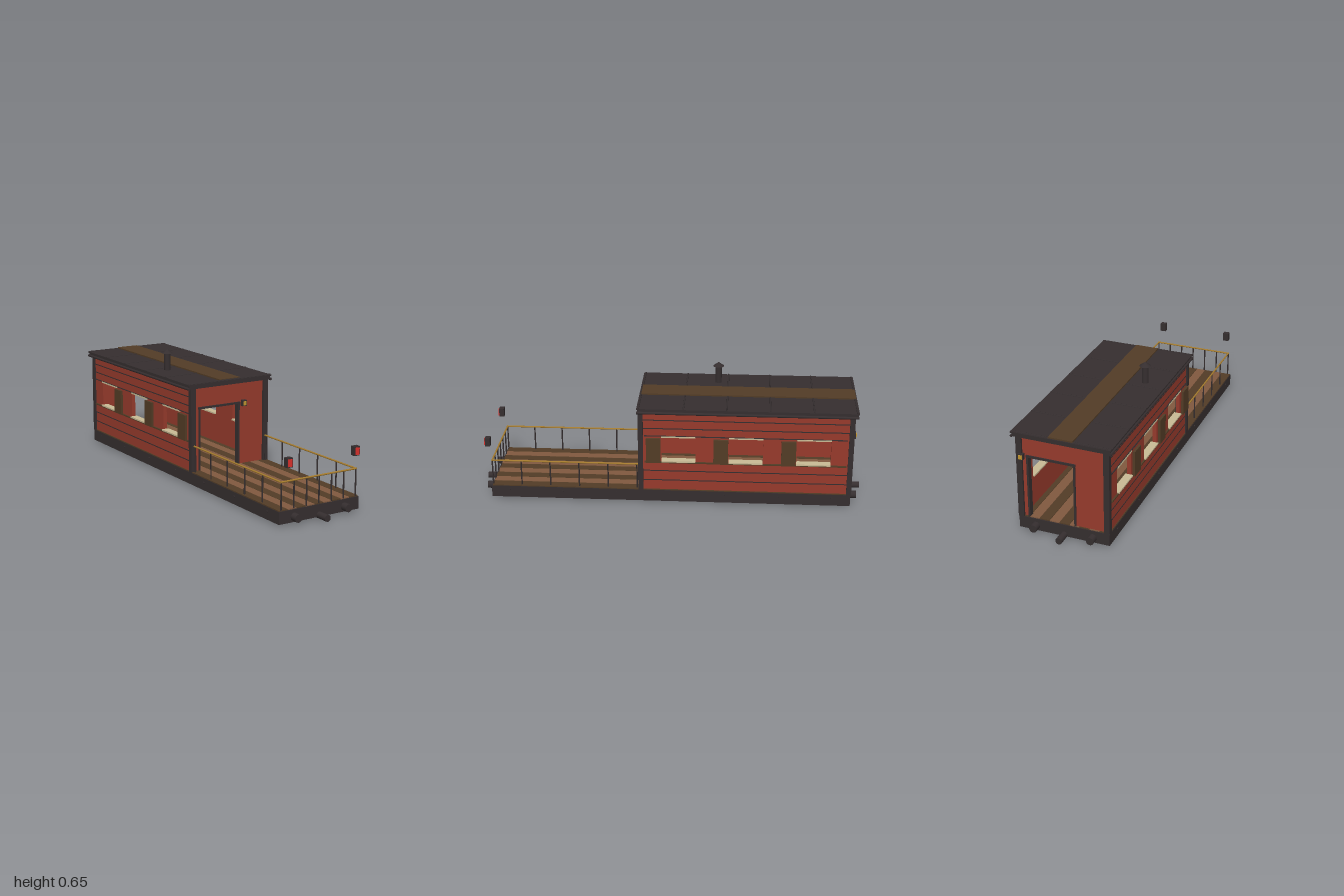
import * as THREE from 'three';

const mat = (name, color) => {
  const m = new THREE.MeshStandardMaterial({ color });
  m.name = name;
  return m;
};

export function createModel() {
  const iron = mat('dark iron', 0x352e2f);
  const red = mat('red paint', 0x963a2c);
  const oak = mat('light plank', 0x80593f);
  const walnut = mat('dark plank', 0x523c26);
  const brass = mat('brass', 0xa67c2e);
  const cream = mat('cream trim', 0xc8ba94);
  const redGlass = mat('red glass', 0xdc302c);
  const amberGlass = mat('amber glass', 0xc0942f);

  const model = new THREE.Group();
  model.name = 'guardWagon';

  const add = (name, geo, material, x, y, z, parent = model) => {
    const mesh = new THREE.Mesh(geo, material);
    mesh.name = name;
    mesh.position.set(x, y, z);
    parent.add(mesh);
    return mesh;
  };
  // Box given by its limits on each axis
  const box = (name, material, x0, x1, y0, y1, z0, z1, parent) =>
    add(name, new THREE.BoxGeometry(x1 - x0, y1 - y0, z1 - z0), material,
      (x0 + x1) / 2, (y0 + y1) / 2, (z0 + z1) / 2, parent);
  // Round bar along one axis
  const rod = (name, material, r, length, axis, x, y, z, sides = 12, parent) => {
    const geo = new THREE.CylinderGeometry(r, r, length, sides);
    if (axis === 'x') geo.rotateZ(Math.PI / 2);
    if (axis === 'z') geo.rotateX(Math.PI / 2);
    return add(name, geo, material, x, y, z, parent);
  };

  // Underframe, couplers, buffers and rivets
  box('underframe', iron, -0.235, 0.235, 0.01, 0.072, -0.935, 0.935);
  for (const end of [-1, 1]) {
    rod('coupler', iron, 0.017, 0.08, 'z', 0, 0.019, end * 0.96, 20);
    for (const side of [-1, 1]) {
      rod('buffer', iron, 0.02, 0.045, 'z', side * 0.148, 0.036, end * 0.949, 20);
    }
  }
  for (const side of [-1, 1]) {
    for (let i = -3; i <= 3; i++) {
      rod('rivet', iron, 0.005, 0.008, 'x', side * 0.236, 0.051, i * 0.28, 8);
    }
  }

  // Floor boards, alternating in tone
  const boards = 9, boardWidth = 0.468 / boards;
  for (let i = 0; i < boards; i++) {
    const x = -0.234 + i * boardWidth;
    box('floorBoard', i % 2 ? oak : walnut, x + 0.001, x + boardWidth - 0.001, 0.07, 0.077, -0.93, 0.93);
  }

  // Cabin side walls with three windows and sliding shutters each
  const zBack = -0.925, zFront = 0.15;
  const windows = [-0.045, -0.391, -0.737];
  const half = 0.0875, sillY = 0.24, headY = 0.375;
  const rect = (P, x0, x1, y0, y1) => {
    const p = new P();
    p.moveTo(x0, y0);
    p.lineTo(x1, y0);
    p.lineTo(x1, y1);
    p.lineTo(x0, y1);
    p.closePath();
    return p;
  };
  for (const side of [-1, 1]) {
    const wall = new THREE.Group();
    wall.name = side > 0 ? 'leftWall' : 'rightWall';
    model.add(wall);
    // Span measured outward from the centre line, mirrored for the right
    const sideBox = (name, m, a, b, ...rest) =>
      box(name, m, Math.min(side * a, side * b), Math.max(side * a, side * b), ...rest, wall);

    const shape = rect(THREE.Shape, -zFront, -zBack, 0.075, 0.512);
    for (const z of windows) shape.holes.push(rect(THREE.Path, -z - half, -z + half, sillY, headY));
    const geo = new THREE.ExtrudeGeometry(shape, { depth: 0.02, bevelEnabled: false });
    geo.rotateY(Math.PI / 2);
    add('wallPanel', geo, red, side > 0 ? 0.209 : -0.229, 0, 0, wall);

    for (const y of [0.13, 0.183, 0.42, 0.466]) {
      sideBox('boardGroove', iron, 0.228, 0.2305, y - 0.0025, y + 0.0025, zBack, zFront);
    }
    sideBox('shutterTrack', walnut, 0.228, 0.238, 0.23, 0.237, zBack + 0.02, zFront - 0.02);
    sideBox('upperTrack', iron, 0.228, 0.234, 0.377, 0.381, zBack + 0.02, zFront - 0.02);
    for (const z of windows) {
      sideBox('windowSill', cream, 0.2, 0.24, sillY - 0.005, sillY + 0.003, z - half, z + half);
      sideBox('windowHead', cream, 0.2, 0.236, headY - 0.003, headY + 0.004, z - half, z + half);
      sideBox('shutter', walnut, 0.237, 0.25, 0.235, 0.37, z + 0.091, z + 0.166);
    }
    for (const z of [zBack, zFront]) {
      sideBox('cornerPost', iron, 0.208, 0.237, 0.072, 0.512, z - 0.013, z + 0.013);
    }
  }

  // End walls with offset doorways, door frames and a lamp beside each
  for (const end of [1, -1]) {
    const wall = new THREE.Group();
    wall.name = end > 0 ? 'frontWall' : 'backWall';
    model.add(wall);
    const zc = end > 0 ? 0.142 : -0.917;
    const z0 = zc - 0.009, z1 = zc + 0.009;
    const centre = end * -0.0625, a = centre - 0.12, b = centre + 0.12, top = 0.402;
    box('wallPanel', red, -0.212, a, 0.075, 0.512, z0, z1, wall);
    box('wallPanel', red, b, 0.212, 0.075, 0.512, z0, z1, wall);
    box('lintelPanel', red, a, b, top, 0.512, z0, z1, wall);
    for (const x of [a, b]) box('doorJamb', iron, x - 0.005, x + 0.005, 0.075, top, z0 - 0.006, z1 + 0.006, wall);
    box('doorHead', iron, a - 0.007, b + 0.007, top - 0.002, 0.411, z0 - 0.006, z1 + 0.006, wall);

    const lampX = centre + 0.148, lampZ = zc + end * 0.018;
    box('doorLamp', iron, lampX - 0.013, lampX + 0.013, 0.388, 0.419, lampZ - 0.01, lampZ + 0.01, wall);
    add('doorLampGlass', new THREE.BoxGeometry(0.018, 0.021, 0.008), amberGlass,
      lampX, 0.403, lampZ + end * 0.01, wall);
  }

  // Roof with seams, eaves, walkway and chimney
  const roof = new THREE.Group();
  roof.name = 'roof';
  model.add(roof);
  box('roofSlab', iron, -0.248, 0.248, 0.511, 0.53, -0.95, 0.163, roof);
  box('roofSheet', iron, -0.254, 0.254, 0.53, 0.536, -0.955, 0.168, roof);
  for (const side of [-1, 1]) rod('eaveBead', iron, 0.007, 1.12, 'z', side * 0.25, 0.513, -0.392, 12, roof);
  for (const z of [-0.945, -0.73, -0.51, -0.29, -0.07, 0.158]) {
    rod('roofSeam', iron, 0.004, 0.505, 'x', 0, 0.536, z, 8, roof);
  }
  box('roofWalk', walnut, -0.062, 0.062, 0.535, 0.543, -0.95, 0.158, roof);
  rod('chimney', iron, 0.017, 0.1, 'y', -0.142, 0.582, -0.237, 20, roof);
  add('chimneyCap', new THREE.ConeGeometry(0.029, 0.022, 20), iron, -0.142, 0.638, -0.237, roof);

  // Platform railing
  const railing = new THREE.Group();
  railing.name = 'railing';
  model.add(railing);
  const railX = 0.219, railZ = 0.928, railY = 0.212;
  const post = (x, z) => rod('railPost', iron, 0.0038, 0.136, 'y', x, 0.143, z, 8, railing);
  for (let i = -3; i <= 3; i++) post(i * railX / 3, railZ);
  for (const side of [-1, 1]) {
    for (let i = 1; i <= 5; i++) post(side * railX, railZ - i * 0.1515);
    rod('sideRail', brass, 0.0045, 0.775, 'z', side * railX, railY, 0.5435, 10, railing);
  }
  rod('frontRail', brass, 0.0045, 0.447, 'x', 0, railY, railZ, 10, railing);

  // Red marker lamps ahead of the platform
  for (const side of [-1, 1]) {
    const x = side * 0.196;
    box('markerLamp', iron, x - 0.016, x + 0.016, 0.286, 0.332, 0.936, 0.962);
    box('markerGlass', redGlass, x - 0.011, x + 0.011, 0.291, 0.326, 0.958, 0.967);
  }

  return model;
}
